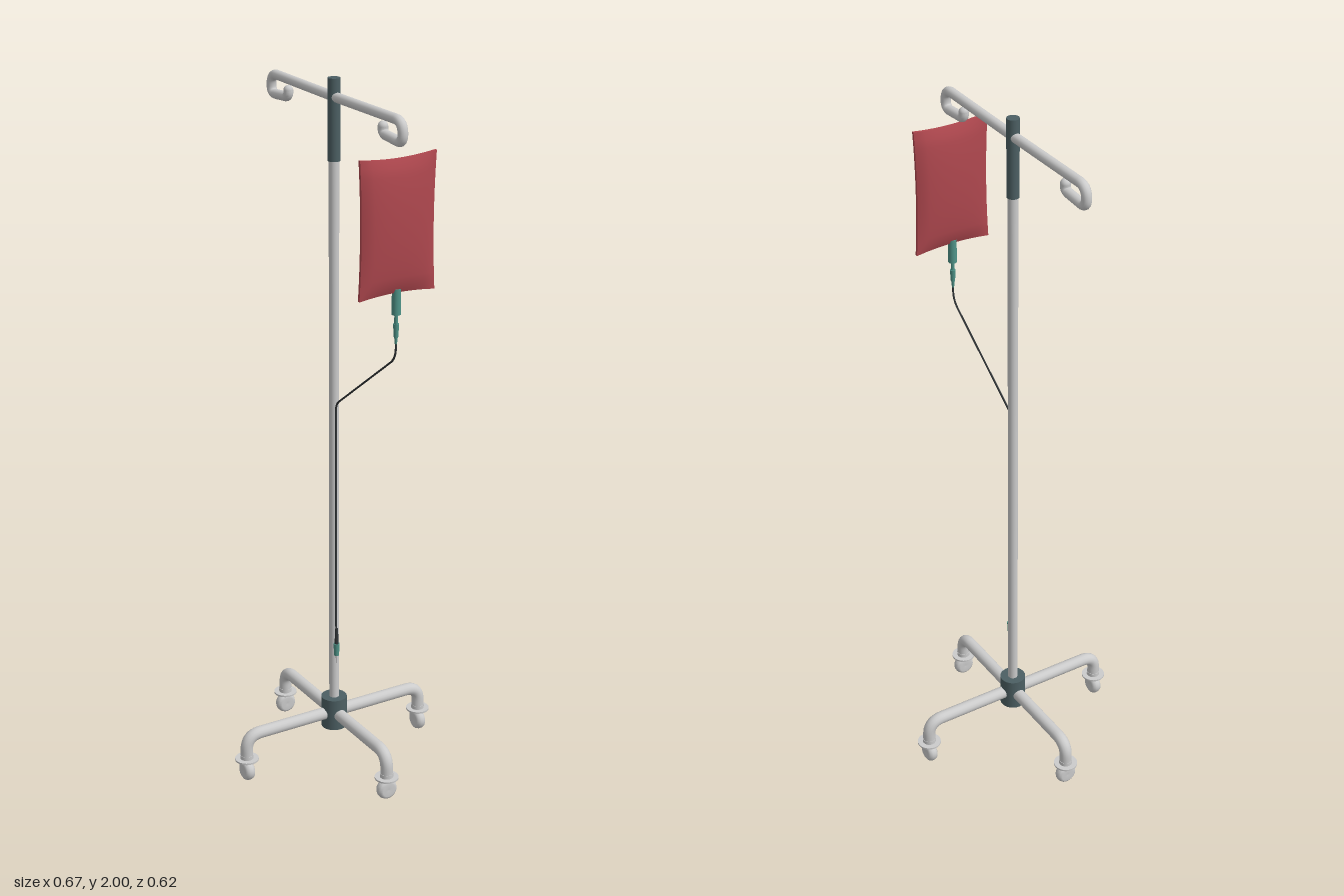
import * as THREE from 'three';
import { toCreasedNormals } from 'three/addons/utils/BufferGeometryUtils.js';

const paint = (color) => new THREE.MeshStandardMaterial({ color });
const grey = paint(0xcccccc);
const slate = paint(0x4c5f63);
const red = paint(0xb0484f);
const teal = paint(0x4f9488);
const black = paint(0x303436);

const V = (x, y, z = 0) => new THREE.Vector3(x, y, z);

function add(parent, name, geometry, material) {
  const mesh = new THREE.Mesh(geometry, material);
  mesh.name = name;
  parent.add(mesh);
  return mesh;
}

// Upright cylinder given by its bottom and top heights
function post(parent, name, rTop, rBottom, y0, y1, material, x = 0, z = 0) {
  const mesh = add(parent, name, new THREE.CylinderGeometry(rTop, rBottom, y1 - y0, 24), material);
  mesh.position.set(x, (y0 + y1) / 2, z);
  return mesh;
}

// Straight runs joined by rounded corners; each corner is [point, bend radius]
function roundedPath(points) {
  const path = new THREE.CurvePath();
  let from = points[0][0];
  for (let i = 1; i < points.length - 1; i++) {
    const [p, r] = points[i];
    const before = p.clone().add(points[i - 1][0].clone().sub(p).setLength(r));
    const after = p.clone().add(points[i + 1][0].clone().sub(p).setLength(r));
    if (from.distanceTo(before) > 1e-4) path.add(new THREE.LineCurve3(from, before));
    path.add(new THREE.QuadraticBezierCurve3(before, p, after));
    from = after;
  }
  path.add(new THREE.LineCurve3(from, points[points.length - 1][0]));
  return path;
}

// Tube with a small domed cap on its free end
function pipe(parent, name, path, radius, segments, material) {
  add(parent, name, new THREE.TubeGeometry(path, segments, radius, 14), material);
  add(parent, name + 'Cap', new THREE.SphereGeometry(radius, 14, 10), material)
    .position.copy(path.getPoint(1));
}

// Leg with its swivel plate and wheel, pointing along +x
function createLeg() {
  const leg = new THREE.Group();
  leg.name = 'leg';
  const path = roundedPath([[V(0, 0.14)], [V(0.29, 0.14), 0.045], [V(0.29, 0.078)]]);
  add(leg, 'legTube', new THREE.TubeGeometry(path, 48, 0.018, 16), grey);
  post(leg, 'casterStem', 0.019, 0.019, 0.068, 0.08, grey, 0.29);
  post(leg, 'casterPlate', 0.034, 0.034, 0.064, 0.069, grey, 0.29);
  post(leg, 'casterFork', 0.01, 0.01, 0.03, 0.066, grey, 0.29);
  // Wheel with a rounded tread, axle along the leg
  const profile = [[0, -0.013], [0.02, -0.015], [0.027, -0.011], [0.03, -0.004],
    [0.03, 0.004], [0.027, 0.011], [0.02, 0.015], [0, 0.013]].map(([r, y]) => new THREE.Vector2(r, y));
  const wheel = add(leg, 'casterWheel', new THREE.LatheGeometry(profile, 24), grey);
  wheel.rotation.z = Math.PI / 2;
  wheel.position.set(0.29, 0.03, 0);
  return leg;
}

// Filled bag: a box swollen in the middle and pinched at the seams
function bagGeometry() {
  const g = new THREE.BoxGeometry(2, 2, 2, 14, 16, 1);
  const p = g.attributes.position;
  for (let i = 0; i < p.count; i++) {
    const u = p.getX(i), v = p.getY(i), side = Math.sign(p.getZ(i));
    const swell = Math.sqrt(Math.max(0, (1 - u * u) * (1 - v * v)));
    p.setXYZ(i,
      u * 0.113 * (1 - 0.05 * (1 - v * v)),
      v * 0.183 * (1 - 0.045 * (1 - u * u)),
      side * (0.004 + 0.02 * swell));
  }
  return toCreasedNormals(g, 0.7);
}

export function createModel() {
  const model = new THREE.Group();
  model.name = 'dripStand';
  const stand = new THREE.Group();
  stand.name = 'stand';
  stand.position.set(-0.012, 0, -0.005);
  stand.rotation.y = -0.304;
  model.add(stand);

  // Base and pole
  post(stand, 'baseHub', 0.037, 0.037, 0.095, 0.19, slate);
  for (let i = 0; i < 4; i++) {
    const leg = createLeg();
    leg.rotation.y = i * Math.PI / 2;
    stand.add(leg);
  }
  post(stand, 'pole', 0.014, 0.014, 0.12, 1.8, grey);
  post(stand, 'poleSleeve', 0.017, 0.017, 1.78, 2, slate);

  // Cross arm with a curled hook at each end
  for (const s of [1, -1]) {
    const path = roundedPath([[V(0, 1.95)], [V(s * 0.334, 1.952), 0.033],
      [V(s * 0.334, 1.896), 0.023], [V(s * 0.24, 1.903), 0.016], [V(s * 0.241, 1.922)]]);
    pipe(stand, s > 0 ? 'leftHook' : 'rightHook', path, 0.0135, 120, grey);
  }

  // Bag across the arm
  const bag = add(stand, 'fluidBag', bagGeometry(), red);
  bag.position.set(0.313, 1.68, 0);
  bag.rotation.y = Math.PI / 2;

  // Drip chamber below the bag
  post(stand, 'dripChamber', 0.012, 0.012, 1.445, 1.515, teal, 0.313);
  post(stand, 'dripNeck', 0.005, 0.005, 1.41, 1.446, teal, 0.313);
  post(stand, 'dripConnector', 0.008, 0.006, 1.385, 1.42, teal, 0.313);
  post(stand, 'dripTip', 0.005, 0.003, 1.365, 1.386, teal, 0.313);

  // Thin line running down to the pole and hanging beside it
  const line = roundedPath([[V(0.313, 1.38)], [V(0.313, 1.325), 0.03],
    [V(0.022, 1.105, 0.007), 0.02], [V(0.022, 0.46, 0.007), 0.03], [V(0.026, 0.38, 0.007)]]);
  add(stand, 'dripLine', new THREE.TubeGeometry(line, 160, 0.0028, 8), black);

  // End fitting and needle
  post(stand, 'endSleeve', 0.004, 0.006, 0.37, 0.42, black, 0.026, 0.007);
  post(stand, 'endFitting', 0.009, 0.007, 0.335, 0.372, teal, 0.026, 0.007);
  post(stand, 'needle', 0.003, 0.0015, 0.31, 0.336, grey, 0.026, 0.007);

  return model;
}
